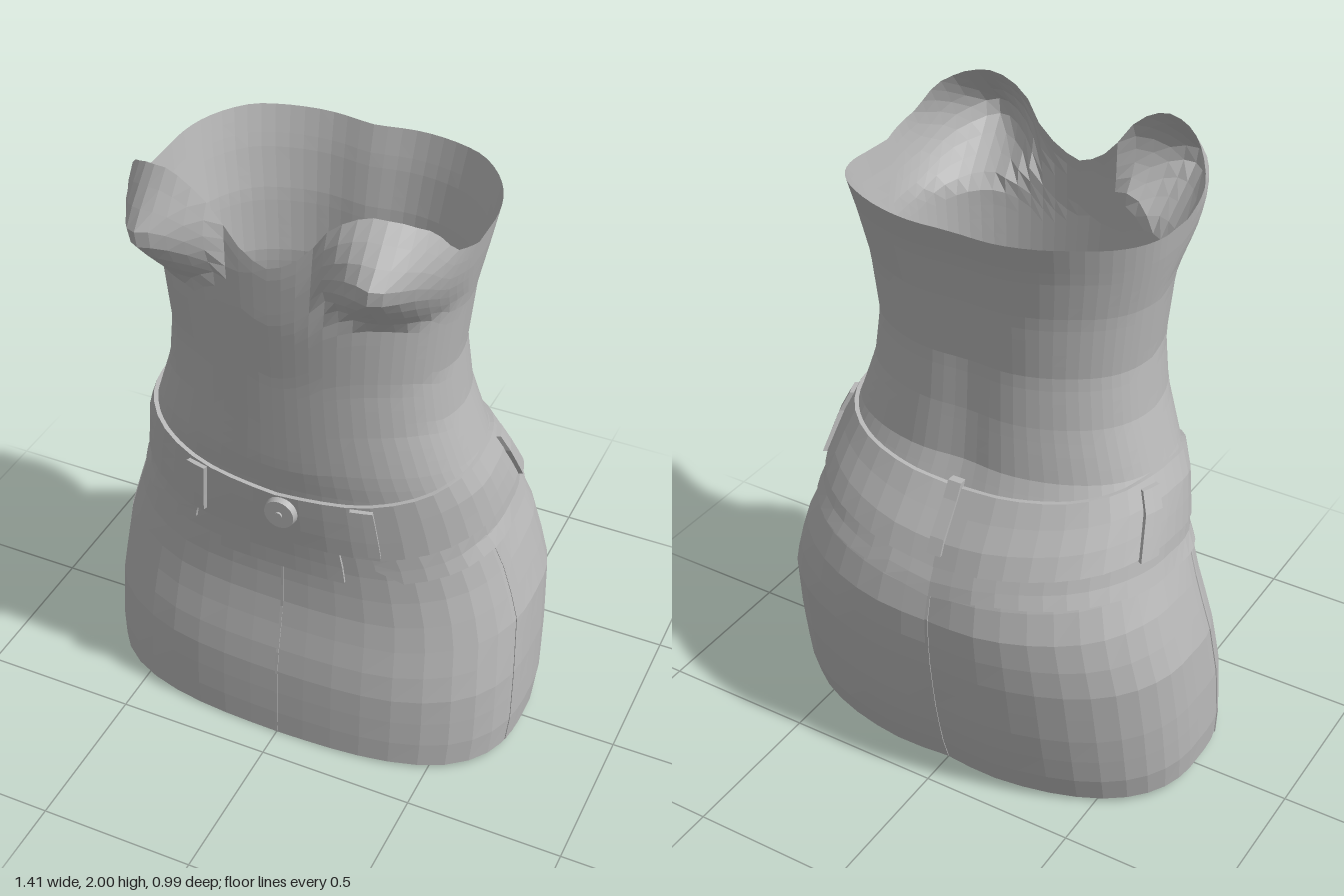
import * as THREE from 'three';

const fabric = new THREE.MeshStandardMaterial({ color: 0xb8b8b8, side: THREE.DoubleSide });

// Cross-sections: y, half width, front z, back z, front squareness, back squareness
const SECTIONS = [
  [0.00, 0.695, 0.40, -0.40, 2.9, 2.4],
  [0.12, 0.705, 0.40, -0.44, 2.9, 2.4],
  [0.30, 0.70, 0.39, -0.475, 2.9, 2.4],
  [0.50, 0.685, 0.345, -0.50, 2.8, 2.4],
  [0.65, 0.64, 0.335, -0.50, 2.7, 2.4],
  [0.76, 0.605, 0.34, -0.465, 2.6, 2.4],
  [0.80, 0.58, 0.345, -0.445, 2.6, 2.4],
  [0.88, 0.57, 0.355, -0.41, 2.5, 2.4],
  [1.00, 0.545, 0.365, -0.32, 2.4, 2.4],
  [1.08, 0.51, 0.375, -0.28, 2.4, 2.4],
  [1.24, 0.455, 0.38, -0.26, 2.4, 2.4],
  [1.40, 0.435, 0.385, -0.25, 2.4, 2.4],
  [1.60, 0.455, 0.40, -0.27, 2.4, 2.4],
  [1.75, 0.485, 0.40, -0.30, 2.4, 2.4],
  [1.87, 0.505, 0.39, -0.335, 2.4, 2.4],
  [2.00, 0.50, 0.37, -0.35, 2.4, 2.4],
];

// Edge heights as [angle from the front, y]
const NECKLINE = [[0, 1.77], [0.14, 1.795], [0.27, 1.87], [0.37, 1.945], [0.5, 1.985], [0.63, 2.0],
  [0.8, 1.985], [1.0, 1.95], [1.2, 1.875], [1.57, 1.83], [2.4, 1.865], [3.1416, 1.85]];
const BAND_TOP = [[0, 0.97], [0.45, 0.99], [1.1, 1.06], [1.57, 1.08], [1.9, 1.08], [2.5, 1.04], [3.1416, 1.01]];
const BAND_BOTTOM = [[0, 0.785], [0.5, 0.785], [1.1, 0.85], [1.6, 0.88], [2, 0.88], [2.6, 0.84], [3.1416, 0.80]];
const YOKE_BOTTOM = [[0, 0.74], [0.48, 0.74], [0.6, 0.70], [1.1, 0.755], [1.6, 0.78], [2.2, 0.78], [2.8, 0.75], [3.1416, 0.71]];
const HEM = [[0, 0], [0.8, 0.01], [1.57, 0.03], [2.3, 0.012], [3.1416, 0.005]];

// Linear lookup in a table whose first column is the key
function lookup(table, key, column = 1) {
  let i = 1;
  while (i < table.length - 1 && table[i][0] < key) i++;
  const p = table[i - 1], q = table[i];
  const t = THREE.MathUtils.clamp((key - p[0]) / (q[0] - p[0]), 0, 1);
  return p[column] + (q[column] - p[column]) * t;
}

// Height of an edge at any angle, mirrored left to right
const height = (edge, a) => typeof edge === 'number' ? edge
  : lookup(edge, Math.abs(Math.atan2(Math.sin(a), Math.cos(a))));

// Point of the garment at angle a (0 = front, + = left), height y, raised outward by lift
function surface(a, y, lift) {
  const [w, zf, zb, nf, nb] = [1, 2, 3, 4, 5].map((c) => lookup(SECTIONS, y, c));
  const s = Math.sin(a), c = Math.cos(a), n = c >= 0 ? nf : nb;
  const r = Math.pow(Math.abs(s) ** n + Math.abs(c) ** n, -1 / n);
  const mid = (zf + zb) / 2, depth = (zf - zb) / 2;
  const x = w * s * r;
  let z = mid + depth * c * r;
  if (c < 0) z += 0.018 * Math.exp(-((x / 0.1) ** 2));
  else {
    // cups
    const dx = Math.abs(x) - 0.355;
    const d = Math.hypot(dx / (dx > 0 ? 0.25 : 0.225), (y - 1.83) / (y > 1.83 ? 0.25 : 0.2));
    if (d < 1) z += 0.2 * Math.pow(1 - d, 0.85) * (1 - 0.2 * d);
  }
  const nx = s / w, nz = c / depth, len = Math.hypot(nx, nz);
  return [x + lift * nx / len, y, z + lift * nz / len];
}

// Faceted sheet over the garment between two angles and two edges; raised sheets get turned-in rims
function sheet(name, a0, a1, columns, bottom, top, rows, lift = 0) {
  const steps = (n, rim) => {
    const list = Array.from({ length: n + 1 }, (_, i) => ({ t: i / n, k: 1 }));
    return rim ? [{ t: 0, k: 0 }, ...list, { t: 1, k: 0 }] : list;
  };
  const closed = a1 - a0 > 6.28;
  const us = steps(columns, lift && !closed), vs = steps(rows, lift);
  const positions = [], index = [];
  for (const v of vs) for (const u of us) {
    const a = a0 + (a1 - a0) * u.t;
    const lo = height(bottom, a), hi = height(top, a);
    positions.push(...surface(a, lo + (hi - lo) * v.t, lift * u.k * v.k));
  }
  const m = us.length;
  for (let j = 0; j < vs.length - 1; j++) for (let i = 0; i < m - 1; i++) {
    const p = j * m + i;
    index.push(p, p + 1, p + m + 1, p, p + m + 1, p + m);
  }
  const indexed = new THREE.BufferGeometry();
  indexed.setAttribute('position', new THREE.Float32BufferAttribute(positions, 3));
  indexed.setIndex(index);
  const geometry = indexed.toNonIndexed();
  geometry.computeVertexNormals();
  const mesh = new THREE.Mesh(geometry, fabric);
  mesh.name = name;
  return mesh;
}

export function createModel() {
  const model = new THREE.Group();
  model.name = 'straplessTopAndSkirt';
  const PI = Math.PI;

  // Main shells
  model.add(sheet('top', -PI, PI, 72, 0.96, NECKLINE, 22));
  model.add(sheet('skirt', -PI, PI, 48, HEM, BAND_BOTTOM, 9));
  model.add(sheet('yoke', 0.48, 2 * PI - 0.48, 44, YOKE_BOTTOM, BAND_BOTTOM, 2, 0.008));
  model.add(sheet('waistband', -PI, PI, 48, BAND_BOTTOM, BAND_TOP, 3, 0.014));
  model.add(sheet('flyPanel', -0.32, 0.32, 8, 0.67, 0.79, 2, 0.012));

  // Seams
  model.add(sheet('frontSeam', -0.006, 0.006, 1, 0.005, 0.67, 8, 0.003));
  model.add(sheet('backSeam', PI - 0.008, PI + 0.008, 1, 0.01, 0.72, 8, 0.003));
  for (const side of [1, -1]) {
    const a = side * 1.22;
    model.add(sheet('sideSeam', a - 0.01, a + 0.01, 1, 0.025, 0.77, 8, 0.003));
  }

  // Belt loops
  model.add(sheet('backBeltLoop', PI - 0.04, PI + 0.04, 1, 0.84, 1.03, 4, 0.026));
  for (const side of [1, -1]) {
    const loop = (name, a, half, lo, hi) =>
      model.add(sheet(name, side * a - half, side * a + half, 2, lo, hi, 3, 0.028));
    loop('frontBeltLoop', 0.475, 0.06, 0.81, 0.985);
    loop('sideBeltLoop', 1.9, 0.08, 0.875, 1.06);
  }

  // Button
  const button = new THREE.Group();
  button.name = 'button';
  for (const [radius, depth, z] of [[0.052, 0.02, 0], [0.012, 0.012, 0.01]]) {
    const disc = new THREE.Mesh(new THREE.CylinderGeometry(radius * 0.92, radius, depth, 20), fabric);
    disc.name = 'buttonDisc';
    disc.rotation.x = PI / 2;
    disc.position.z = z;
    button.add(disc);
  }
  button.position.set(0.02, 0.915, 0.385);
  model.add(button);

  return model;
}
